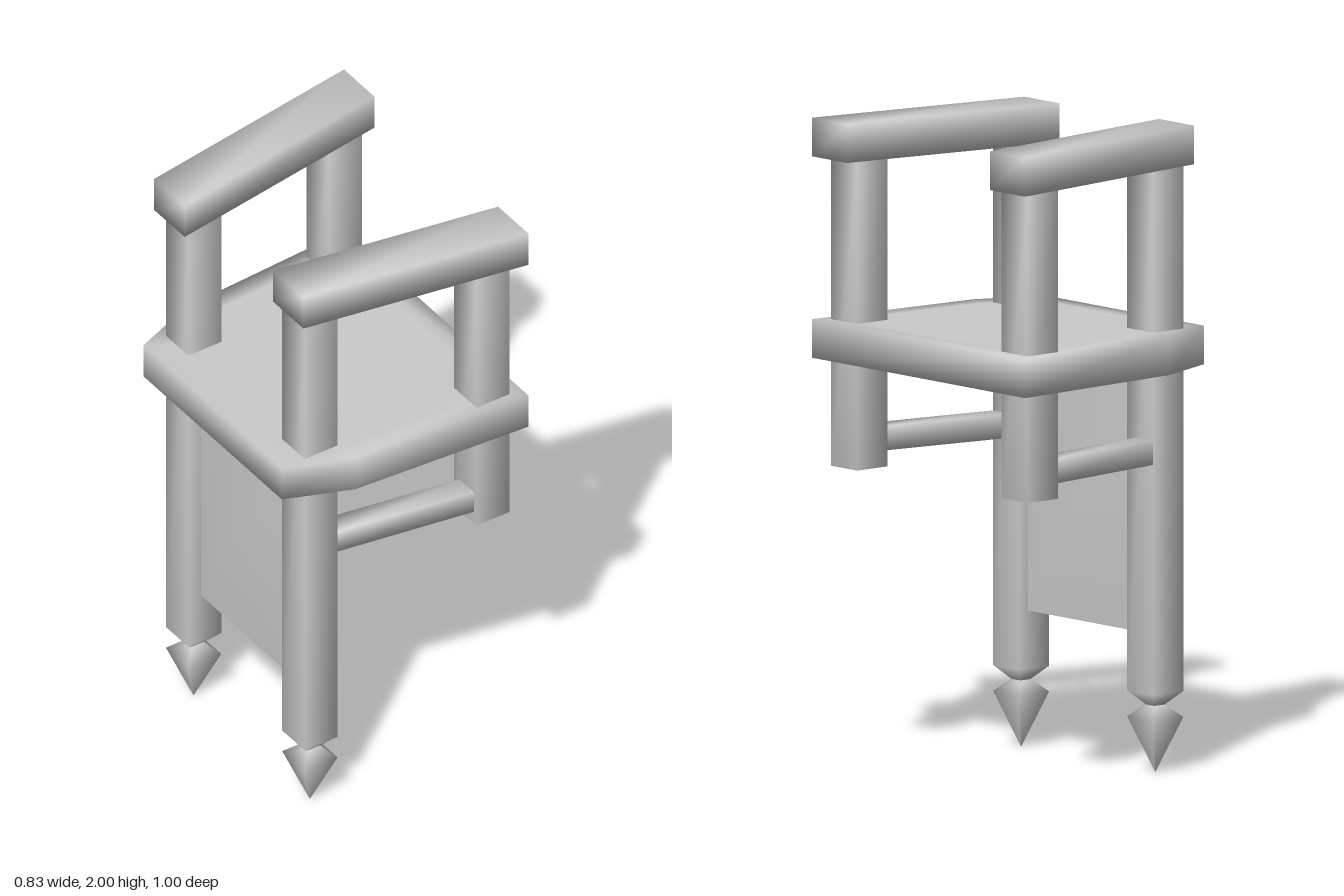
import * as THREE from 'three';

const material = new THREE.MeshStandardMaterial({ color: 0xcccccc });

// Stack of horizontal outlines, [y, [[x, z], ...]] from bottom to top, capped
// at both ends. Corners are shared, so the shading runs softly over the edges.
function loft(name, levels) {
  const position = [], index = [];
  const n = levels[0][1].length;
  for (const [y, outline] of levels) {
    const pts = outline.map(([x, z]) => new THREE.Vector2(x, z));
    if (THREE.ShapeUtils.area(pts) > 0) pts.reverse();
    for (const p of pts) position.push(p.x, y, p.y);
  }
  const last = (levels.length - 1) * n;
  for (let i = 0; i < last; i += n) {
    for (let j = 0; j < n; j++) {
      const a = i + j, b = i + (j + 1) % n;
      index.push(a, b, b + n, a, b + n, a + n);
    }
  }
  for (let j = 1; j < n - 1; j++) {
    index.push(0, j + 1, j);
    index.push(last, last + j, last + j + 1);
  }
  const geometry = new THREE.BufferGeometry();
  geometry.setAttribute('position', new THREE.Float32BufferAttribute(position, 3));
  geometry.setIndex(index);
  geometry.computeVertexNormals();
  const mesh = new THREE.Mesh(geometry, material);
  mesh.name = name;
  return mesh;
}

const square = (x, z, h) => [[x - h, z - h], [x + h, z - h], [x + h, z + h], [x - h, z + h]];

// Bar running along x, from inner edge z0 to z1 at the ends, with width w
const slanted = (x0, z0, x1, z1, w, s) =>
  [[x0, s * z0], [x1, s * z1], [x1, s * (z1 + w)], [x0, s * (z0 + w)]];

export function createModel() {
  const group = new THREE.Group();

  // Seat slab with chamfered rear corners; inset rings keep the faces flat
  const outline = [[-0.415, -0.375], [-0.2, -0.46], [0.415, -0.5],
    [0.415, 0.5], [-0.2, 0.46], [-0.415, 0.375]];
  const inset = outline.map(([x, z]) => [x * 0.82, z * 0.85]);
  group.add(loft('seat', [[1.255, inset], [1.255, outline], [1.375, outline], [1.375, inset]]));

  // Panel between the long posts
  group.add(loft('panel', [0.43, 1.26].map(y =>
    [y, [[-0.285, -0.26], [-0.246, -0.26], [-0.246, 0.26], [-0.285, 0.26]]])));

  for (const s of [1, -1]) {
    const side = s > 0 ? 'left' : 'right';

    // Long post, and the necked spike at its foot
    const px = -0.27, pz = s * 0.315;
    group.add(loft(side + 'LongPost', [
      [0.205, square(px, pz, 0.018)],
      [0.25, square(px, pz, 0.061)],
      [1.88, square(px, pz, 0.061)],
    ]));
    group.add(loft(side + 'Spike', [
      [0, square(px, pz, 0.001)],
      [0.17, square(px, pz, 0.061)],
      [0.21, square(px, pz, 0.018)],
    ]));

    // Short post
    group.add(loft(side + 'ShortPost', [0.92, 1.88].map(y => [y, square(0.31, s * 0.4, 0.061)])));

    // Stretcher between the posts
    group.add(loft(side + 'Stretcher', [0.965, 1.04].map(y =>
      [y, slanted(-0.215, 0.295, 0.255, 0.368, 0.08, s)])));

    // Top rail, splayed outward toward +x
    group.add(loft(side + 'TopRail', [1.88, 2].map(y =>
      [y, slanted(s > 0 ? -0.335 : -0.375, 0.21, 0.415, 0.335, 0.165, s)])));
  }
  return group;
}
